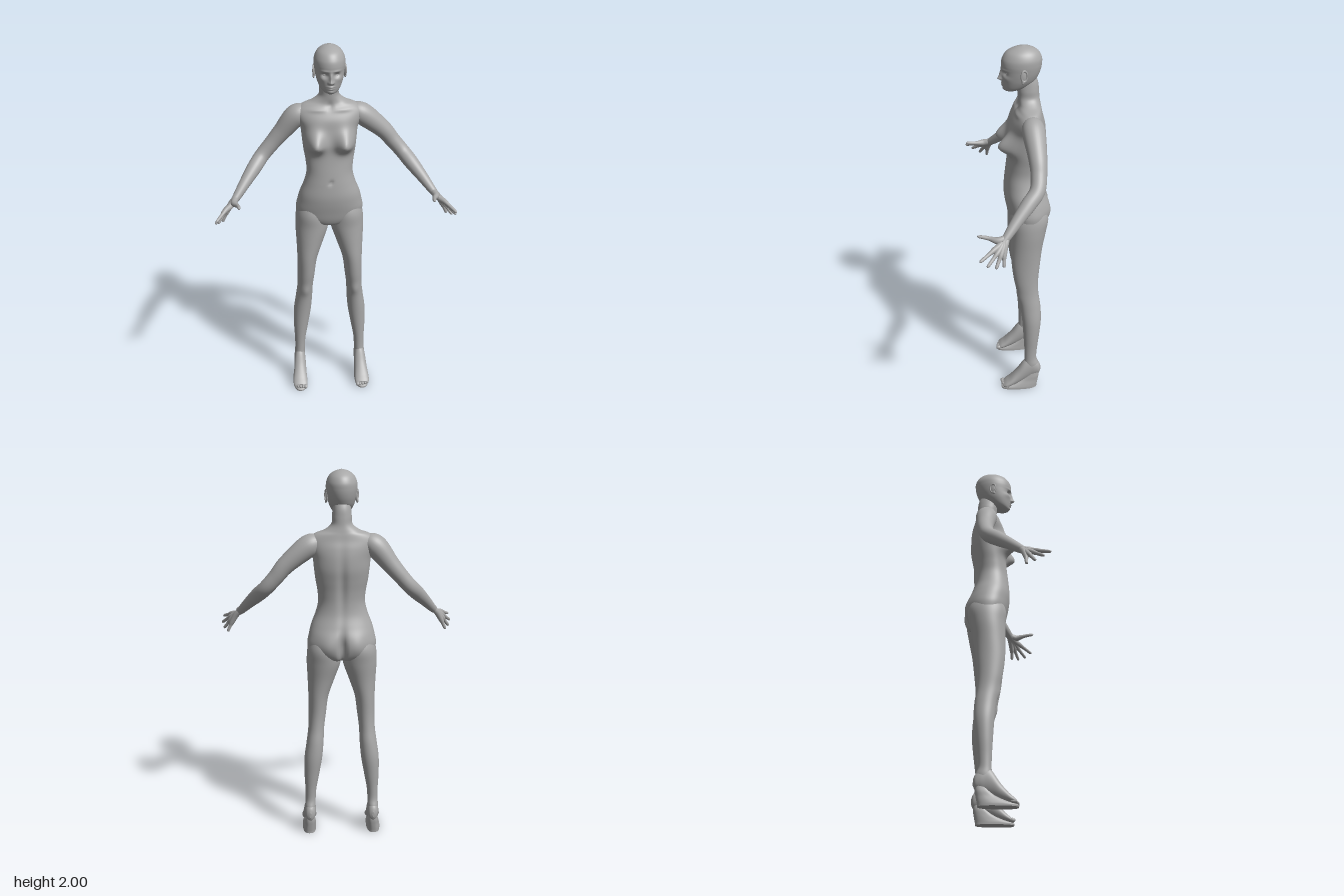
import * as THREE from 'three';

const AXIS = -0.018; // the body stands slightly off centre between the hands
const skin = new THREE.MeshStandardMaterial({ color: 0xa8a8a8 });
skin.name = 'mannequin grey';

// Smoothly interpolate rows of numbers
function sample(rows, per) {
  const size = rows[0].length;
  const cubic = new THREE.CubicInterpolant(rows.map((r, i) => i), rows.flat(), size, new Float32Array(size));
  const out = [], n = (rows.length - 1) * per;
  for (let i = 0; i <= n; i++) out.push(Array.from(cubic.evaluate(i / per)));
  return out;
}

// Stitch rings of points into a closed, smooth surface with capped ends
function stitch(rings) {
  const pos = [], idx = [], n = rings[0].length, m = rings.length;
  rings.forEach(r => r.forEach(p => pos.push(p.x, p.y, p.z)));
  for (let i = 0; i < m - 1; i++) for (let j = 0; j < n; j++) {
    const k = (j + 1) % n, a = i * n + j, b = i * n + k;
    idx.push(a, a + n, b, b, a + n, b + n);
  }
  [rings[0], rings[m - 1]].forEach((ring, end) => {
    const base = pos.length / 3, c = new THREE.Vector3();
    ring.forEach(p => { pos.push(p.x, p.y, p.z); c.addScaledVector(p, 1 / n); });
    pos.push(c.x, c.y, c.z);
    for (let j = 0; j < n; j++) {
      const a = base + j, b = base + (j + 1) % n;
      if (end) idx.push(base + n, b, a); else idx.push(base + n, a, b);
    }
  });
  const g = new THREE.BufferGeometry();
  g.setAttribute('position', new THREE.Float32BufferAttribute(pos, 3));
  g.setIndex(idx);
  g.computeVertexNormals();
  return g;
}

// Rows are [y, centre x, half width, front z, back z]
// Bumps are [x, y, spread x, spread y above, spread y below, push in z, side], side 1 = front, -1 = back
function loft(rows, { around = 40, per = 6, bumps = [], power = 1 } = {}) {
  const all = bumps.flatMap(b => b[0] ? [b, [-b[0], ...b.slice(1)]] : [b]);
  const round = v => Math.sign(v) * Math.abs(v) ** power;
  return stitch(sample(rows, per).map(([y, cx, rx, zf, zb]) => {
    const ring = [];
    for (let j = 0; j < around; j++) {
      const a = j / around * Math.PI * 2, s = Math.sin(a);
      const x = cx + rx * round(Math.cos(a));
      let z = (zf + zb) / 2 + (zf - zb) / 2 * round(s);
      for (const [bx, by, sx, up, down, dz, side] of all) {
        const w = Math.min(1, Math.max(0, s * side * 2));
        z += w * dz * Math.exp(-(((x - bx) / sx) ** 2) - ((y - by) / (y > by ? up : down)) ** 2);
      }
      ring.push(new THREE.Vector3(x, y, z));
    }
    return ring;
  }));
}

// Tapering tube through rows of [x, y, z, radius]
function limb(rows, around = 24, per = 6) {
  const pts = sample(rows, per), up = new THREE.Vector3(0, 1, 0);
  const v = pts.map(p => new THREE.Vector3(p[0], p[1], p[2]));
  return stitch(v.map((c, i) => {
    const t = v[Math.min(i + 1, v.length - 1)].clone().sub(v[Math.max(i - 1, 0)]).normalize();
    const nx = up.clone().cross(t).normalize(), b = t.clone().cross(nx);
    return Array.from({ length: around }, (_, j) => {
      const a = j / around * Math.PI * 2;
      return c.clone().addScaledVector(nx, pts[i][3] * Math.cos(a)).addScaledVector(b, -pts[i][3] * Math.sin(a));
    });
  }));
}

export function createModel() {
  const body = new THREE.Group();
  body.name = 'mannequin';
  body.position.x = AXIS;
  const add = (name, geometry, parent = body) => {
    const mesh = new THREE.Mesh(geometry, skin);
    mesh.name = name;
    parent.add(mesh);
    return mesh;
  };
  const ball = (name, parent, p, s) => {
    const mesh = add(name, new THREE.SphereGeometry(1, 20, 14), parent);
    mesh.position.set(...p);
    mesh.scale.set(...s);
    return mesh;
  };

  // Torso, shoulders and neck
  add('torso', loft([
    [1.005, 0, 0.03, -0.05, -0.12], [1.02, 0, 0.1, -0.015, -0.175], [1.05, 0, 0.165, 0.002, -0.198],
    [1.1, 0, 0.18, 0.014, -0.205], [1.15, 0, 0.172, 0.024, -0.202], [1.2, 0, 0.159, 0.029, -0.186],
    [1.26, 0, 0.136, 0.026, -0.167], [1.32, 0, 0.122, 0.02, -0.162], [1.38, 0, 0.126, 0.013, -0.166],
    [1.44, 0, 0.136, 0.008, -0.176], [1.5, 0, 0.143, 0.006, -0.186], [1.56, 0, 0.15, 0.002, -0.186],
    [1.61, 0, 0.168, -0.004, -0.179], [1.65, 0, 0.172, -0.022, -0.168], [1.68, 0, 0.142, -0.04, -0.162],
    [1.7, 0, 0.09, -0.046, -0.158], [1.73, 0, 0.054, -0.044, -0.153], [1.77, 0, 0.05, -0.04, -0.15],
    [1.81, 0, 0.046, -0.035, -0.145], [1.85, 0, 0.04, -0.04, -0.13],
  ], {
    around: 96, power: 0.92, bumps: [
      [0.08, 1.487, 0.047, 0.065, 0.04, 0.07, 1],     // breasts
      [0, 1.28, 0.01, 0.012, 0.01, -0.01, 1],         // navel
      [0.07, 1.665, 0.05, 0.01, 0.01, 0.006, 1],      // collarbones
      [0, 1.68, 0.015, 0.02, 0.02, -0.008, 1],        // throat hollow
      [0, 1.42, 0.022, 0.16, 0.16, 0.012, -1],        // spine groove
      [0, 1.09, 0.016, 0.07, 0.1, 0.032, -1],         // cleft
      [0.075, 1.1, 0.05, 0.06, 0.05, -0.015, -1],     // buttocks
    ],
  }));

  // Head with sculpted face
  const head = new THREE.Group();
  head.name = 'head';
  body.add(head);
  add('skull', loft([
    [1.766, 0, 0.014, 0.018, -0.02], [1.774, 0, 0.034, 0.026, -0.05], [1.79, 0, 0.05, 0.031, -0.09],
    [1.82, 0, 0.064, 0.036, -0.128], [1.85, 0, 0.072, 0.037, -0.147], [1.88, 0, 0.077, 0.038, -0.158],
    [1.91, 0, 0.08, 0.04, -0.163], [1.94, 0, 0.077, 0.034, -0.162], [1.97, 0, 0.062, 0.013, -0.146],
    [1.99, 0, 0.036, -0.025, -0.115], [2.0, 0, 0.004, -0.064, -0.074],
  ], {
    around: 128, per: 10, bumps: [
      [0, 1.831, 0.009, 0.017, 0.007, 0.02, 1],       // nose tip
      [0, 1.86, 0.008, 0.02, 0.02, 0.01, 1],          // nose bridge
      [0.01, 1.83, 0.006, 0.008, 0.006, 0.008, 1],    // nostrils
      [0.03, 1.868, 0.015, 0.011, 0.012, -0.013, 1],  // eye sockets
      [0.03, 1.888, 0.022, 0.006, 0.006, 0.004, 1],   // brows
      [0.045, 1.845, 0.016, 0.012, 0.016, 0.005, 1],  // cheekbones
      [0, 1.808, 0.016, 0.004, 0.004, 0.007, 1],      // upper lip
      [0, 1.797, 0.014, 0.004, 0.004, 0.007, 1],      // lower lip
      [0, 1.78, 0.014, 0.008, 0.008, 0.005, 1],       // chin
    ],
  }), head);

  for (const s of [1, -1]) {
    const side = s > 0 ? 'left' : 'right';
    ball(side + 'Eye', head, [s * 0.03, 1.868, 0.009], [0.012, 0.007, 0.01]);

    // Ear: rim, bowl and lobe
    const ear = new THREE.Group();
    ear.name = side + 'Ear';
    ear.position.set(s * 0.078, 1.868, -0.068);
    ear.rotation.y = s * 0.3;
    head.add(ear);
    const rim = add('earRim', new THREE.TorusGeometry(0.02, 0.005, 10, 28), ear);
    rim.rotation.y = Math.PI / 2;
    rim.scale.set(0.8, 1.4, 1);
    ball('earBowl', ear, [-s * 0.003, 0, 0], [0.005, 0.027, 0.016]);
    ball('earLobe', ear, [0, -0.03, 0.006], [0.005, 0.01, 0.008]);

    // Arm, bent forward at the elbow
    const out = ([x, y, z, r]) => [s * x - AXIS, y, z, r];
    add(side + 'Arm', limb([
      [s * 0.11, 1.635, -0.1, 0.04], [s * 0.17, 1.617, -0.106, 0.058],
      ...[[0.265, 1.525, -0.115, 0.047], [0.32, 1.46, -0.115, 0.041], [0.372, 1.4, -0.102, 0.039],
        [0.415, 1.352, -0.055, 0.038], [0.465, 1.295, 0.003, 0.03], [0.515, 1.235, 0.06, 0.021],
        [0.535, 1.217, 0.08, 0.015]].map(out),
    ], 32, 8));

    // Hand: the finger bases overlap to form the palm
    const hand = new THREE.Group();
    hand.name = side + 'Hand';
    body.add(hand);
    const fingers = {
      indexFinger: [[0.567, 1.2, 0.125], [0.618, 1.167, 0.198]],
      middleFinger: [[0.573, 1.188, 0.108], [0.624, 1.14, 0.163]],
      ringFinger: [[0.572, 1.176, 0.092], [0.612, 1.12, 0.12]],
      littleFinger: [[0.565, 1.166, 0.077], [0.59, 1.112, 0.079]],
    };
    for (const [name, [k, t]] of Object.entries(fingers)) {
      const at = (u, r) => out([...k.map((v, i) => v + (t[i] - v) * u), r]);
      add(name, limb([out([0.51, 1.24, 0.055, 0.015]), out([0.54, 1.21, (0.06 + k[2]) / 2, 0.016]),
        at(0, 0.0135), at(0.35, 0.0095), at(0.7, 0.0085), at(0.93, 0.007), at(1, 0.002)], 14, 4), hand);
    }
    add('thumb', limb([[0.515, 1.235, 0.06, 0.016], [0.525, 1.225, 0.1, 0.018], [0.51, 1.23, 0.14, 0.011],
      [0.503, 1.235, 0.17, 0.0095], [0.5, 1.238, 0.194, 0.007], [0.5, 1.239, 0.201, 0.002]].map(out), 14, 4), hand);

    // Leg, from ankle to hip
    const off = rows => rows.map(([t, x, ...rest]) => [t, s * x, ...rest]);
    add(side + 'Leg', loft(off([
      [0.12, 0.173, 0.027, -0.065, -0.152], [0.16, 0.173, 0.029, -0.068, -0.15], [0.2, 0.171, 0.028, -0.071, -0.138],
      [0.26, 0.169, 0.03, -0.07, -0.141], [0.35, 0.163, 0.04, -0.065, -0.152], [0.45, 0.154, 0.048, -0.058, -0.162],
      [0.54, 0.144, 0.046, -0.048, -0.159], [0.62, 0.137, 0.043, -0.034, -0.148], [0.7, 0.131, 0.047, -0.016, -0.146],
      [0.8, 0.124, 0.054, -0.003, -0.155], [0.9, 0.109, 0.072, 0, -0.168], [1.0, 0.095, 0.09, 0.001, -0.188],
      [1.08, 0.095, 0.084, 0.004, -0.198], [1.16, 0.09, 0.065, -0.02, -0.17],
    ]), {
      around: 48, bumps: [[s * 0.137, 0.6, 0.025, 0.035, 0.03, 0.007, 1]], // kneecap
    }));

    // Foot: rows run from heel to toe as [z, x, half width, -bottom, -top]
    const foot = new THREE.Group();
    foot.name = side + 'Foot';
    body.add(foot);
    add('instep', loft(off([
      [-0.162, 0.173, 0.006, -0.105, -0.135], [-0.152, 0.173, 0.022, -0.085, -0.16], [-0.13, 0.173, 0.029, -0.075, -0.185],
      [-0.1, 0.173, 0.031, -0.06, -0.2], [-0.07, 0.174, 0.033, -0.045, -0.182], [-0.03, 0.176, 0.036, -0.026, -0.122],
      [0.01, 0.178, 0.04, -0.014, -0.073], [0.035, 0.178, 0.039, -0.01, -0.05], [0.048, 0.178, 0.032, -0.01, -0.038],
    ])).rotateX(Math.PI / 2), foot);
    for (let i = 0; i < 5; i++) {
      const r = i ? 0.0085 : 0.011;
      ball('toe' + (i + 1), foot, [s * (0.15 + i * 0.0145), 0.024, 0.05 - i * i * 0.0012], [r, r * 1.1, 0.015]);
    }
    // Wedge heel and flat sole
    add('wedgeSole', loft(off([
      [0, 0.178, 0.037, 0.06, -0.14], [0.012, 0.178, 0.037, 0.058, -0.141], [0.028, 0.177, 0.034, 0.012, -0.144],
      [0.05, 0.175, 0.03, -0.04, -0.148], [0.075, 0.174, 0.028, -0.075, -0.152], [0.1, 0.173, 0.024, -0.09, -0.153],
    ]), { power: 0.75 }), foot);
  }

  const model = new THREE.Group();
  model.name = 'model';
  model.add(body);
  return model;
}
